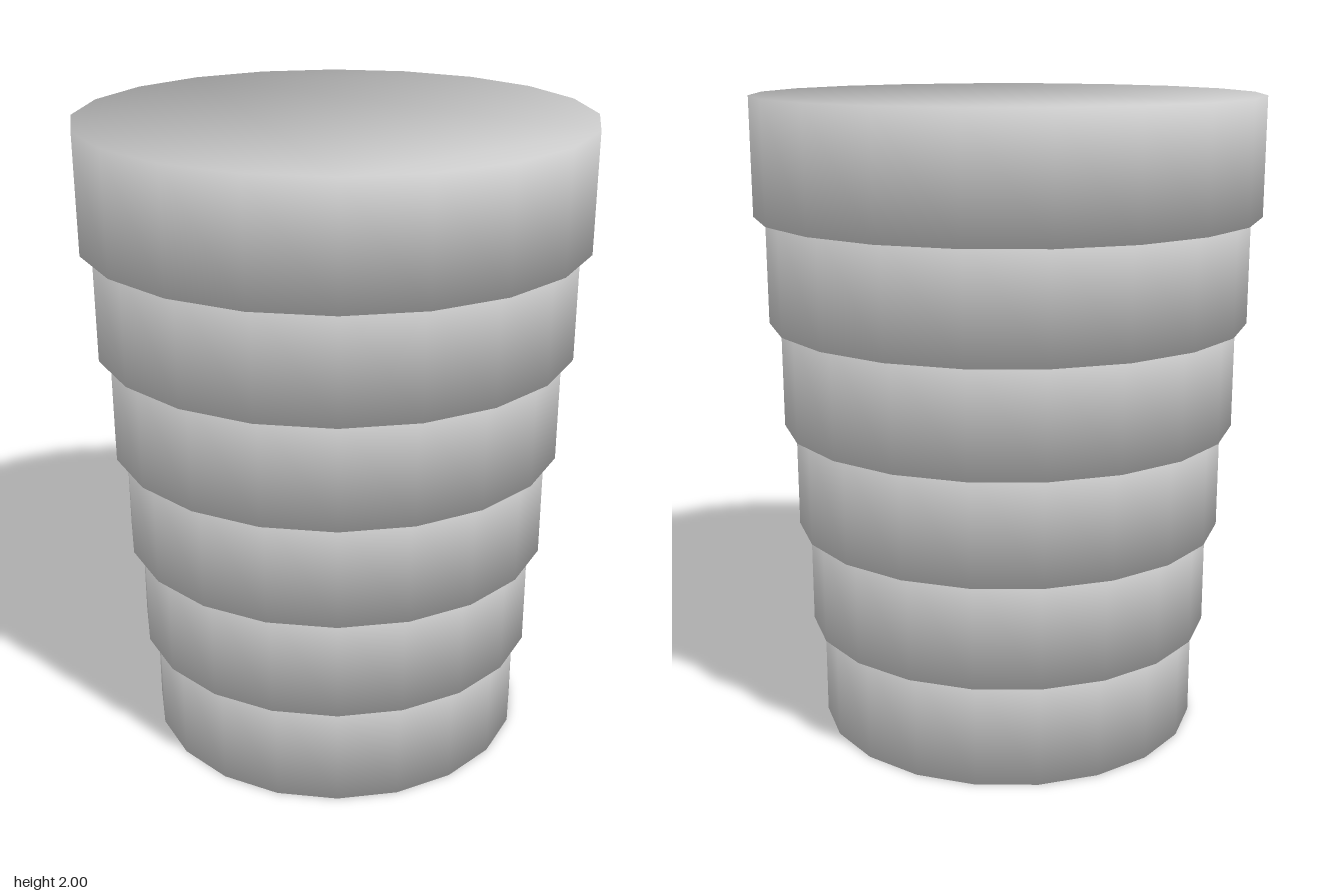
import * as THREE from 'three';

const SIDES = 20;
const TIERS = 6;
const TIER_HEIGHT = 0.36;
const STEP = (2 - TIER_HEIGHT) / (TIERS - 1); // tiers overlap slightly

// One closed 20-sided drum standing on y = 0, shaded smoothly across its rims
function drumGeometry(radius, height) {
  const points = [];
  for (let i = 0; i < SIDES; i++) {
    const a = (i / SIDES) * Math.PI * 2;
    points.push(new THREE.Vector2(Math.cos(a) * radius, Math.sin(a) * radius));
  }
  const geometry = new THREE.ExtrudeGeometry(new THREE.Shape(points), {
    depth: height, bevelEnabled: false, steps: 1,
  });
  geometry.rotateX(-Math.PI / 2);

  // Soft rim normals: average of the two walls and the cap, weighted by corner angle
  const half = Math.PI / SIDES;
  const outward = Math.PI * Math.cos(half);
  const upward = Math.PI - 2 * half;
  const position = geometry.attributes.position;
  const normal = geometry.attributes.normal;
  const n = new THREE.Vector3();
  for (let i = 0; i < position.count; i++) {
    n.set(
      (position.getX(i) / radius) * outward,
      position.getY(i) > height / 2 ? upward : -upward,
      (position.getZ(i) / radius) * outward,
    ).normalize();
    normal.setXYZ(i, n.x, n.y, n.z);
  }
  return geometry;
}

export function createModel() {
  const model = new THREE.Group();
  model.name = 'steppedColumn';
  const grey = new THREE.MeshStandardMaterial({ color: 0xcccccc });
  grey.name = 'light grey';

  // Stacked drums, each a little wider than the one below
  for (let i = 0; i < TIERS; i++) {
    const radius = 0.605 + 0.035 * i;
    const tier = new THREE.Mesh(drumGeometry(radius, TIER_HEIGHT), grey);
    tier.name = `tier${i + 1}`;
    tier.position.y = i * STEP;
    model.add(tier);
  }
  return model;
}
